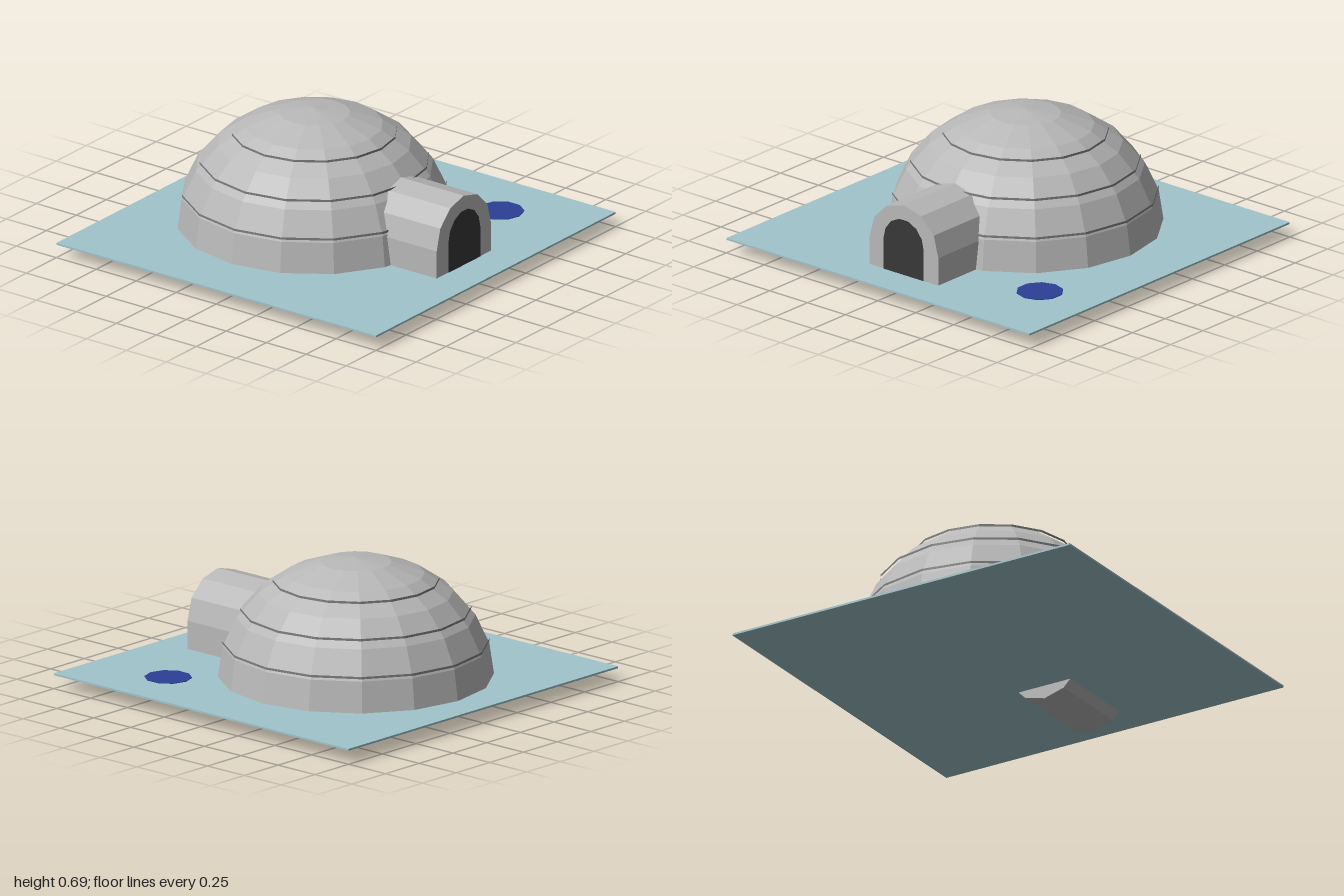
import * as THREE from 'three';

export function createModel() {
  const model = new THREE.Group();
  model.name = 'igloo';

  const material = (name, color, extra = {}) =>
    new THREE.MeshStandardMaterial({ name, color, flatShading: true, ...extra });
  const snow = material('snowGrey', 0xb8b8b8);
  const seam = material('seamGrey', 0x808080);
  const dark = material('doorDark', 0x383838);
  const ice = material('paleIce', 0xa0c4cb);
  const water = material('waterBlue', 0x2b3f94);

  const add = (name, geometry, mat, x, y, z) => {
    const mesh = new THREE.Mesh(geometry, mat);
    mesh.name = name;
    mesh.position.set(x, y, z);
    model.add(mesh);
    return mesh;
  };

  const ground = 0.08;
  const domeZ = -0.135;

  // Ice slab
  add('iceSlab', new THREE.BoxGeometry(2, 0.01, 2), ice, 0, ground - 0.005, 0);

  // Slightly flattened half-sphere dome
  const dome = new THREE.SphereGeometry(0.692, 16, 6, 0, Math.PI * 2, 0, Math.PI / 2);
  dome.scale(1, 0.614 / 0.692, 1);
  add('dome', dome, snow, 0, ground, domeZ);

  // Open bands marking the block courses
  [[0.67, 0.258], [0.58, 0.43], [0.418, 0.577]].forEach(([r, y], i) =>
    add(`courseBand${i + 1}`, new THREE.CylinderGeometry(r, r, 0.012, 16, 1, true), seam, 0, y, domeZ));

  // Entrance tunnel: a round barrel with straight walls, dipping under the slab
  const barrel = new THREE.CylinderGeometry(0.227, 0.227, 0.46, 12);
  barrel.rotateX(Math.PI / 2);
  add('tunnelBarrel', barrel, snow, 0, 0.227, 0.57);
  add('tunnelWalls', new THREE.BoxGeometry(0.454, 0.152, 0.46), snow, 0, 0.151, 0.57);

  // Arched doorway
  const arch = new THREE.Shape();
  arch.moveTo(-0.133, ground);
  arch.lineTo(0.133, ground);
  for (let i = 0; i <= 7; i++) {
    const a = (i / 7) * Math.PI;
    arch.lineTo(0.133 * Math.cos(a), 0.242 + 0.136 * Math.sin(a));
  }
  add('doorway', new THREE.ShapeGeometry(arch), dark, 0, 0, 0.803);

  // Fishing hole
  add('fishingHole', new THREE.CylinderGeometry(0.12, 0.12, 0.004, 10), water, 0.665, ground + 0.001, 0.53);

  return model;
}
